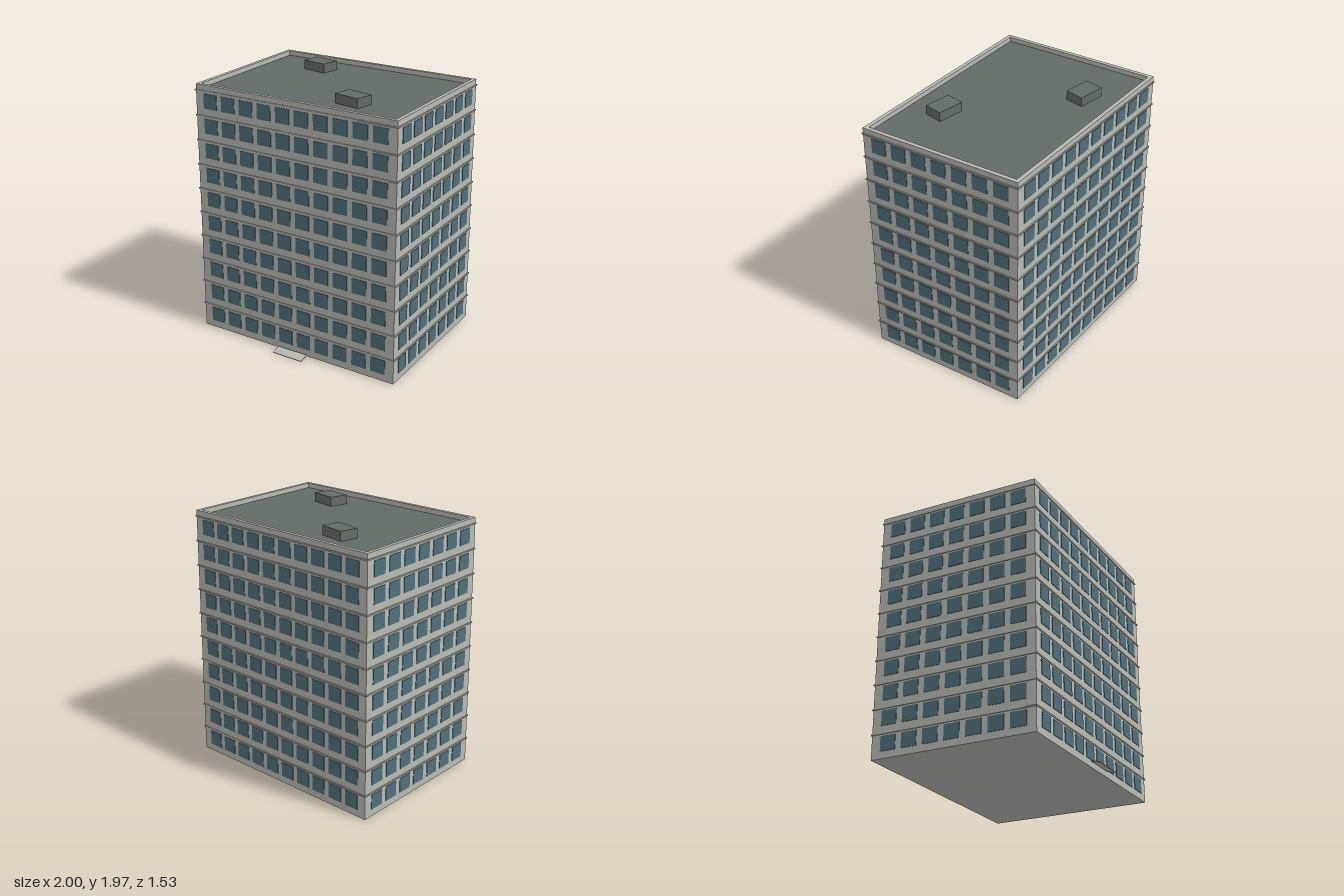
import * as THREE from 'three';
import { mergeGeometries } from 'three/addons/utils/BufferGeometryUtils.js';

const FLOORS = 10, STOREY = 0.1895, ROOF_Y = FLOORS * STOREY, TOP_Y = 1.935;

// Slightly skewed footprint: long direction U (front edge), short direction V (side edge)
const U = new THREE.Vector2(1.685, -0.29), V = new THREE.Vector2(0.295, 1.22);
const HU = U.length() / 2, HV = V.length() / 2;
U.normalize();
V.normalize();

// Footprint corners (x, z), grown outward by d: front left, front right, back right, back left
function corners(d) {
  return [[-1, 1], [1, 1], [1, -1], [-1, -1]].map(([a, b]) =>
    U.clone().multiplyScalar(a * (HU + d)).addScaledVector(V, b * (HV + d)));
}

const outline = (d) => corners(d).map((p) => new THREE.Vector2(p.x, -p.y));

// Upright prism on the footprint, optionally hollow
function prism(grow, y, height, holeGrow) {
  const shape = new THREE.Shape(outline(grow));
  if (holeGrow !== undefined) shape.holes.push(new THREE.Path(outline(holeGrow)));
  return new THREE.ExtrudeGeometry(shape, { depth: height, bevelEnabled: false })
    .rotateX(-Math.PI / 2).translate(0, y, 0);
}

export function createModel() {
  const concrete = new THREE.MeshStandardMaterial({ name: 'concrete', color: 0xb8bab3 });
  const roofing = new THREE.MeshStandardMaterial({ name: 'roofing', color: 0x636b66 });
  const glass = new THREE.MeshStandardMaterial({ name: 'glass', color: 0x4f6f7b });

  const model = new THREE.Group();
  model.name = 'apartmentBlock';
  function add(name, geometry, material, parent = model) {
    const mesh = new THREE.Mesh(geometry, material);
    mesh.name = name;
    parent.add(mesh);
    return mesh;
  }

  // Main body, parapet rim and sunken roof
  add('walls', prism(0, 0, ROOF_Y), concrete);
  add('parapet', prism(0, ROOF_Y, TOP_Y - ROOF_Y, -0.03), concrete);
  add('roof', prism(-0.03, ROOF_Y, 0.004), roofing);

  // Thin ledge around every storey
  for (let i = 0; i < FLOORS; i++) {
    add('ledge', prism(0.007, 0.179 + i * STOREY, 0.01, -0.002), concrete);
  }

  // Rows of windows on each wall
  const c = corners(0);
  [['front', 10], ['right', 7], ['back', 10], ['left', 7]].forEach(([side, count], k) => {
    const start = c[k], end = c[(k + 1) % 4];
    const dir = end.clone().sub(start);
    const length = dir.length();
    dir.normalize();
    const angle = Math.atan2(-dir.y, dir.x); // outward normal is (-dir.y, dir.x)
    const panes = [];
    for (let floor = 0; floor < FLOORS; floor++) {
      for (let i = 0; i < count; i++) {
        const p = start.clone().addScaledVector(dir, 0.13 + i * (length - 0.26) / (count - 1));
        panes.push(new THREE.BoxGeometry(0.119, 0.113, 0.008).rotateY(angle)
          .translate(p.x, 0.11 + floor * STOREY, p.y));
      }
    }
    add(side + 'Windows', mergeGeometries(panes), glass);
  });

  // Two roof housings
  for (const [x, z] of [[-0.44, -0.277], [0.415, 0.272]]) {
    add('roofHousing', new THREE.BoxGeometry(0.21, 0.075, 0.145).translate(x, 1.9325, z), roofing);
  }

  // Low sloping entrance slab just in front of the wall
  const entrance = new THREE.Group();
  entrance.name = 'entrance';
  entrance.position.set(0.156, 0.0135, 0.672);
  entrance.rotation.y = Math.atan2(-U.y, U.x);
  model.add(entrance);
  add('entranceSlab', new THREE.BoxGeometry(0.258, 0.006, 0.073), concrete, entrance).rotation.x = 0.28;

  return model;
}
